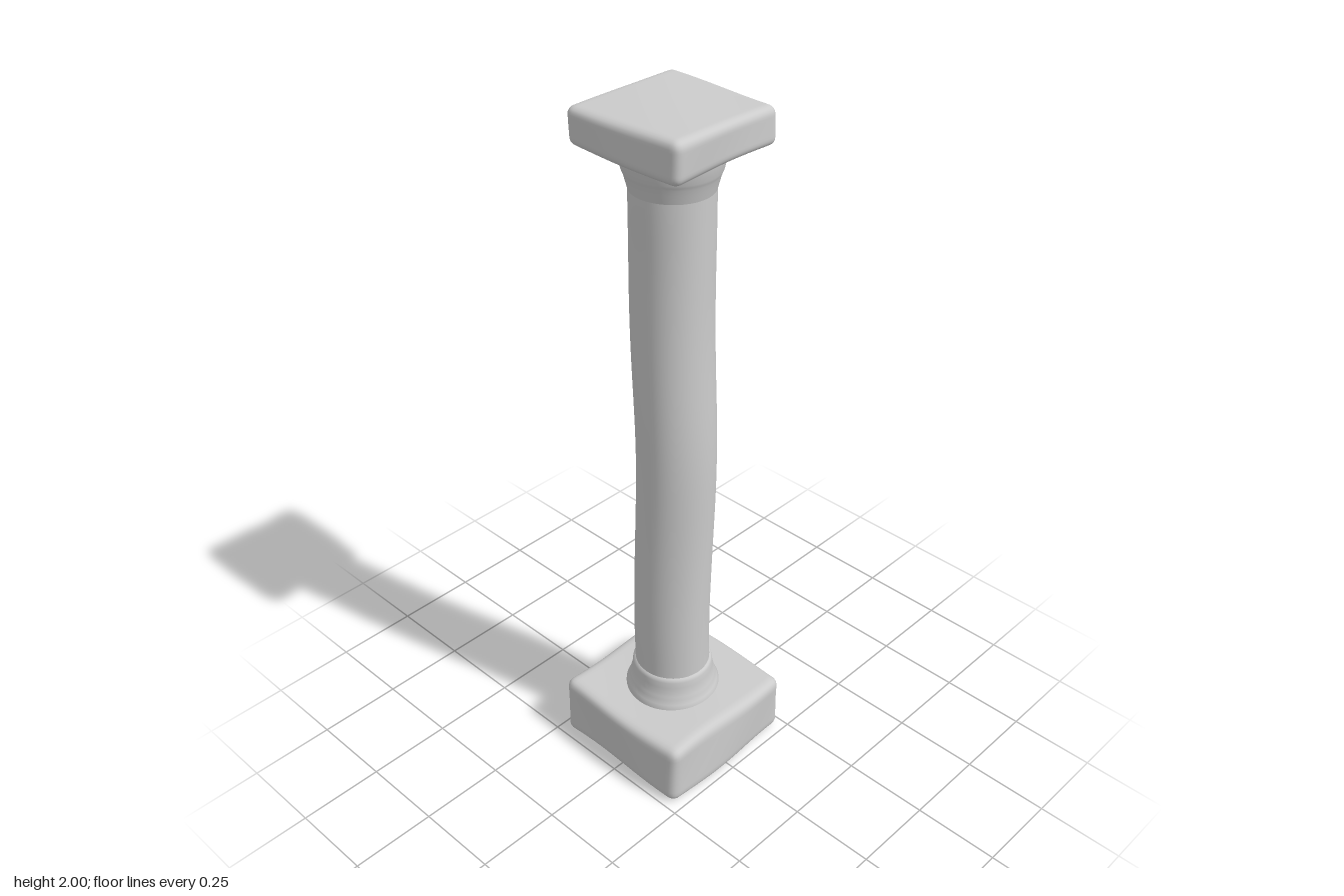
import * as THREE from 'three';
import { mergeVertices } from 'three/addons/utils/BufferGeometryUtils.js';

const material = new THREE.MeshStandardMaterial({ color: 0xcccccc });

// Moves every vertex by a rule, then welds seams and smooths the normals
function sculpt(geometry, rule) {
  geometry.deleteAttribute('uv');
  geometry.deleteAttribute('normal');
  const p = geometry.attributes.position;
  const v = new THREE.Vector3();
  for (let i = 0; i < p.count; i++) {
    rule(v.fromBufferAttribute(p, i));
    p.setXYZ(i, v.x, v.y, v.z);
  }
  const welded = mergeVertices(geometry, 1e-5);
  welded.computeVertexNormals();
  return welded;
}

// Worn stone slab: rounded edges and gently uneven faces
function slab(name, width, height, y, radius, wear, phase) {
  const half = new THREE.Vector3(width / 2, height / 2, width / 2);
  const inner = half.clone().subScalar(radius);
  const low = inner.clone().negate();
  const core = new THREE.Vector3();
  const n = 40;
  const geometry = sculpt(new THREE.BoxGeometry(width, height, width, n, 16, n), (v) => {
    core.copy(v).clamp(low, inner);
    v.sub(core).setLength(radius).add(core);
    const { x, y: h, z } = v;
    v.x += (x / half.x) * wear * Math.sin(13 * z + 9 * h + phase);
    v.z += (z / half.z) * wear * Math.sin(14 * x - 11 * h + 2 * phase);
    v.y += (h / half.y) * wear * 0.7 * Math.sin(11 * x + 8 * z + phase);
  });
  const mesh = new THREE.Mesh(geometry, material);
  mesh.name = name;
  mesh.position.y = y;
  return mesh;
}

// Turned column piece that follows the slight bend of the shaft
function turned(name, profile) {
  const points = profile.map(([r, y]) => new THREE.Vector2(r, y));
  const geometry = sculpt(new THREE.LatheGeometry(points, 48), (v) => {
    const a = Math.atan2(v.z, v.x);
    const fade = THREE.MathUtils.smoothstep(v.y, 0.25, 0.5) * (1 - THREE.MathUtils.smoothstep(v.y, 1.5, 1.8));
    const swell = 1 + 0.012 * Math.sin(3 * a + 5 * v.y) * (0.4 + fade);
    v.x = v.x * swell - 0.003 * fade * Math.sin(6 * v.y);
    v.z = v.z * swell + 0.011 * Math.exp(-(((v.y - 1.05) / 0.28) ** 2));
  });
  const mesh = new THREE.Mesh(geometry, material);
  mesh.name = name;
  return mesh;
}

export function createModel() {
  const group = new THREE.Group();
  group.name = 'column';

  // Square plinth and top slab
  group.add(slab('plinth', 0.464, 0.195, 0.104, 0.028, 0.004, 0.6));
  group.add(slab('topSlab', 0.354, 0.104, 1.945, 0.022, 0.004, 2.1));

  // Shaft, with rows along its length so that it can bend
  const shaft = [];
  for (let i = 0; i <= 60; i++) shaft.push([0.109, 0.22 + (1.62 * i) / 60]);
  group.add(turned('shaft', shaft));

  // Stepped collars below and above the shaft
  group.add(turned('lowerCollar', [
    [0.139, 0.18], [0.138, 0.205], [0.132, 0.215], [0.127, 0.23], [0.125, 0.242],
    [0.121, 0.25], [0.119, 0.27], [0.117, 0.288], [0.114, 0.298], [0.106, 0.302],
  ]));
  group.add(turned('upperCollar', [
    [0.106, 1.78], [0.111, 1.8], [0.115, 1.815], [0.119, 1.83], [0.122, 1.838],
    [0.125, 1.845], [0.129, 1.865], [0.132, 1.885], [0.132, 1.91],
  ]));
  return group;
}
